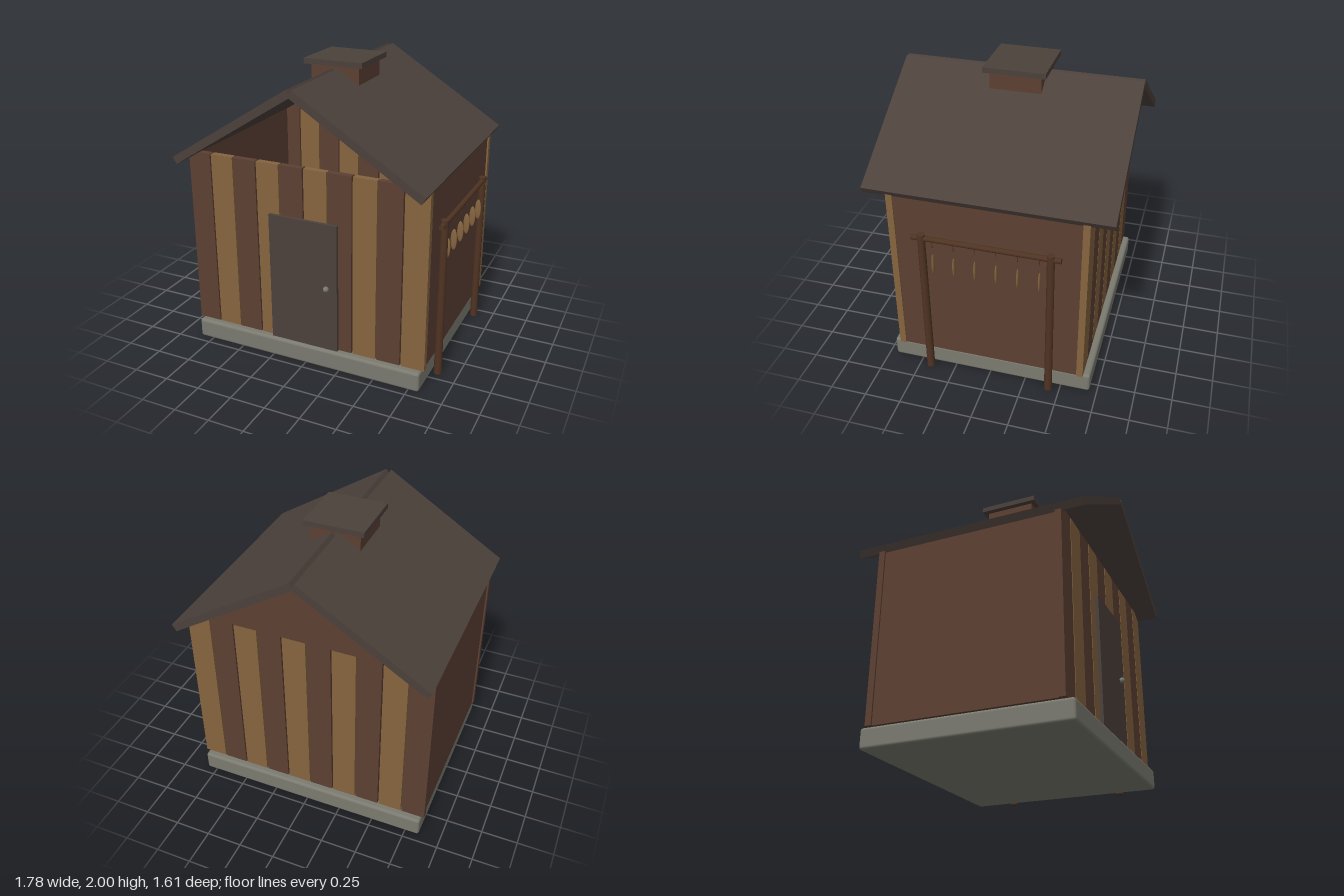
import * as THREE from 'three';
import { RoundedBoxGeometry } from 'three/addons/geometries/RoundedBoxGeometry.js';

function material(name, color) {
  const m = new THREE.MeshStandardMaterial({ color });
  m.name = name;
  return m;
}

export function createModel() {
  const darkWood = material('dark wood', 0x5c4033);
  const lightWood = material('light wood', 0x85643f);
  const roofWood = material('roof wood', 0x4c413b);
  const stone = material('stone', 0x7a7a70);
  const poleWood = material('pole wood', 0x4f3322);
  const metal = material('metal', 0x77776f);

  const model = new THREE.Group();
  model.name = 'smokehouse';
  const house = new THREE.Group();
  house.name = 'house';
  house.position.x = -0.0125;
  const rack = new THREE.Group();
  rack.name = 'dryingRack';
  rack.position.x = 0.864;
  model.add(house, rack);

  function add(parent, name, geometry, mat, x = 0, y = 0, z = 0) {
    const mesh = new THREE.Mesh(geometry, mat);
    mesh.name = name;
    mesh.position.set(x, y, z);
    parent.add(mesh);
    return mesh;
  }
  const box = (w, h, d) => new THREE.BoxGeometry(w, h, d);

  // Stone base
  add(house, 'foundation', new RoundedBoxGeometry(1.675, 0.14, 1.4, 3, 0.02), stone, 0, 0.07, 0);

  // Front and back walls of spaced, alternating planks
  const plank = box(0.163, 1.26, 0.044);
  for (const side of [1, -1]) {
    for (let i = 0; i < 10; i++) {
      add(house, side > 0 ? 'frontPlank' : 'backPlank', plank, i % 2 ? lightWood : darkWood,
        (i - 4.5) * 0.1722, 0.77, side * 0.631);
    }
  }

  // Solid side walls
  for (const side of [1, -1]) {
    add(house, 'sideWall', box(0.04, 1.26, 1.22), darkWood, side * 0.825, 0.77, 0);
  }

  // Rear gable; the front one is open
  const gable = new THREE.Shape([
    new THREE.Vector2(-0.855, 1.4),
    new THREE.Vector2(0.855, 1.4),
    new THREE.Vector2(0, 1.9),
  ]);
  add(house, 'rearGable', new THREE.ExtrudeGeometry(gable, { depth: 0.044, bevelEnabled: false }),
    darkWood, 0, 0, -0.653);

  // Two roof slabs leaving a small notch along the ridge
  const pitch = Math.atan2(0.54, 0.86);
  for (const side of [1, -1]) {
    const slab = add(house, 'roofSlab', box(1.015, 0.053, 1.61), roofWood,
      side * (0.4475 - 0.0265 * Math.sin(pitch)), 1.67 - 0.0265 * Math.cos(pitch), 0);
    slab.rotation.z = -side * pitch;
  }

  // Smoke vent on the ridge
  add(house, 'vent', box(0.345, 0.245, 0.345), darkWood, 0, 1.8425, 0);
  add(house, 'ventCap', box(0.418, 0.037, 0.418), roofWood, 0, 1.9815, 0);

  // Door and knob
  add(house, 'door', box(0.494, 0.915, 0.04), roofWood, 0, 0.5975, 0.656);
  add(house, 'doorKnob', new THREE.SphereGeometry(0.02, 20, 14), metal, 0.173, 0.6, 0.687);

  // Rack posts and crossbar
  for (const side of [1, -1]) {
    add(rack, 'rackPost', new THREE.CylinderGeometry(0.025, 0.027, 1.12, 16), poleWood,
      0, 0.56, side * 0.423);
  }
  const bar = add(rack, 'rackBar', new THREE.CylinderGeometry(0.018, 0.018, 0.98, 16), poleWood, 0, 1.09, 0);
  bar.rotation.x = Math.PI / 2;

  // Hanging fish with short hooks under the bar
  const fish = new THREE.SphereGeometry(1, 16, 12).scale(0.022, 0.075, 0.009);
  const hook = new THREE.CylinderGeometry(0.004, 0.002, 0.06, 8);
  for (let i = 0; i < 6; i++) {
    const z = (i - 2.5) * 0.141;
    add(rack, 'hook', hook, poleWood, 0, 1.055, z);
    add(rack, 'fish', fish, lightWood, 0, 0.897, z);
  }

  return model;
}
